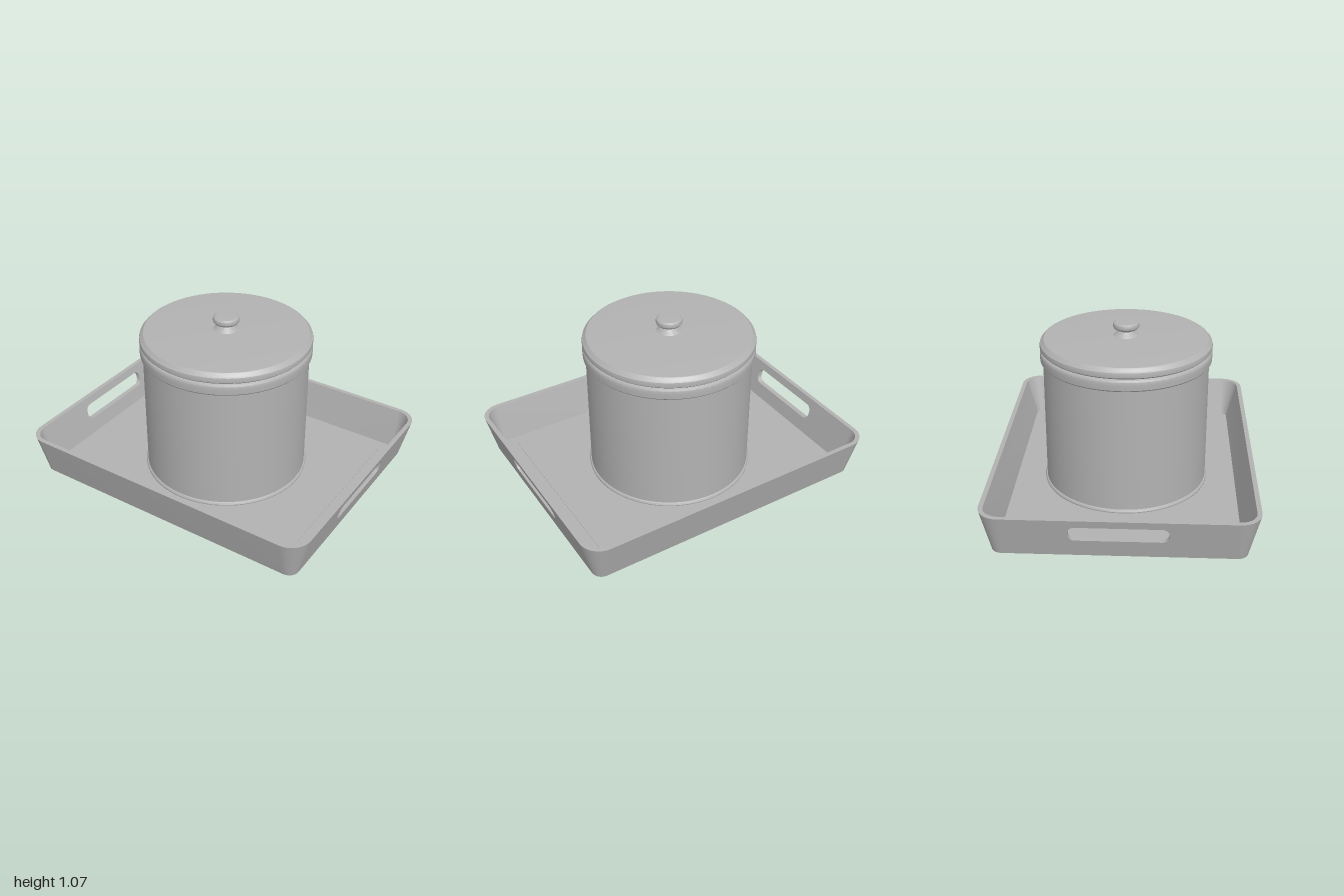
import * as THREE from 'three';
import { toCreasedNormals } from 'three/addons/utils/BufferGeometryUtils.js';

const grey = new THREE.MeshStandardMaterial({ color: 0xb2b2b2 });
grey.name = 'grey';

const H = 0.265, FLOOR = 0.022;   // tray height, floor thickness
const CX = 0.87, CZ = 0.67;       // centres of the rounded corners

// radius of the corners (distance of each wall from the corner centres) at a height
const outer = y => 0.065 + 0.065 * y / H;
const inner = y => 0.035 + 0.067 * (y - FLOOR) / (H - FLOOR);

function add(parent, name, geometry) {
  const mesh = new THREE.Mesh(toCreasedNormals(geometry, 0.5), grey);
  mesh.name = name;
  parent.add(mesh);
  return mesh;
}

function lathe(parent, name, profile) {
  const pts = profile.map(([r, y]) => new THREE.Vector2(r, y));
  return add(parent, name, new THREE.LatheGeometry(pts, 72));
}

function roundedRect(PathType, w, h, r, cy = 0) {
  const p = new PathType();
  const c = [[w - r, h - r, 0], [r - w, h - r, 1], [r - w, r - h, 2], [w - r, r - h, 3]];
  c.forEach(([x, y, q]) => p.absarc(x, y + cy, r, q * Math.PI / 2, (q + 1) * Math.PI / 2, false));
  p.closePath();
  return p;
}

// Long side with its two corners: a wall section swept round a half turn
function longWall() {
  const section = [[outer(0), 0], [outer(H), H], [inner(H), H], [inner(FLOOR), FLOOR]];
  const stations = [];
  const steps = 10;
  for (const side of [1, -1]) {
    for (let i = 0; i <= steps; i++) {
      stations.push([side * CX, (side > 0 ? 0 : Math.PI / 2) + i / steps * Math.PI / 2]);
    }
  }
  const pos = [], index = [], n = section.length;
  stations.forEach(([cx, a], i) => {
    section.forEach(([r, y], j) => {
      pos.push(cx + r * Math.cos(a), y, CZ + r * Math.sin(a));
      if (i < stations.length - 1 && j < n - 1) {
        const p = i * n + j, q = p + n;
        index.push(p, p + 1, q + 1, p, q + 1, q);
      }
    });
  });
  const g = new THREE.BufferGeometry();
  g.setAttribute('position', new THREE.Float32BufferAttribute(pos, 3));
  g.setIndex(index);
  return g;
}

// Short side with a handle slot, leaned outwards
function handleWall() {
  const s = new THREE.Shape();
  s.moveTo(-CZ, 0);
  s.lineTo(CZ, 0);
  s.lineTo(CZ, H);
  s.lineTo(-CZ, H);
  s.closePath();
  s.holes.push(roundedRect(THREE.Path, 0.285, 0.05, 0.042, 0.165));
  const g = new THREE.ExtrudeGeometry(s, { depth: 1, bevelEnabled: false, curveSegments: 8 });
  const p = g.attributes.position;
  for (let i = 0; i < p.count; i++) {
    const u = p.getX(i), y = p.getY(i), t = p.getZ(i);
    p.setXYZ(i, CX + THREE.MathUtils.lerp(inner(y), outer(y), t), y, -u);
  }
  return g;
}

function plate(w, d, r, thickness, y) {
  const g = new THREE.ExtrudeGeometry(roundedRect(THREE.Shape, w, d, r),
    { depth: thickness, bevelEnabled: false, curveSegments: 10 });
  return g.rotateX(-Math.PI / 2).translate(0, y, 0);
}

export function createModel() {
  const model = new THREE.Group();
  model.name = 'potOnTray';

  // Tray
  const tray = new THREE.Group();
  tray.name = 'tray';
  model.add(tray);
  add(tray, 'trayFloor', plate(CX + 0.065, CZ + 0.065, 0.065, FLOOR, 0));
  add(tray, 'floorPanel', plate(0.815, 0.63, 0.004, 0.003, FLOOR));
  for (const turn of [0, Math.PI]) {
    add(tray, 'longWall', longWall()).rotation.y = turn;
    add(tray, 'handleWall', handleWall()).rotation.y = turn;
  }

  // Pot
  const pot = new THREE.Group();
  pot.name = 'pot';
  model.add(pot);
  lathe(pot, 'potBody', [[0, FLOOR], [0.515, FLOOR], [0.515, 0.84]]);
  lathe(pot, 'footRing', [[0.525, FLOOR], [0.527, 0.032], [0.522, 0.042], [0.514, 0.046]]);
  lathe(pot, 'potRim', [[0.51, 0.834], [0.526, 0.834], [0.532, 0.842], [0.533, 0.87],
    [0.532, 0.892], [0.526, 0.902], [0.515, 0.907], [0.515, 0.914]]);

  // Lid
  const lid = new THREE.Group();
  lid.name = 'lid';
  model.add(lid);
  lathe(lid, 'lidBand', [[0.513, 0.91], [0.524, 0.912], [0.532, 0.92], [0.533, 0.936],
    [0.53, 0.95], [0.52, 0.957], [0.512, 0.97], [0.506, 0.974]]);
  lathe(lid, 'lidTop', [[0.506, 0.974], [0.4, 0.979], [0.25, 0.983], [0, 0.986]]);
  lathe(lid, 'knob', [[0.078, 0.984], [0.072, 0.99], [0.052, 1.002], [0.042, 1.013], [0.05, 1.021],
    [0.072, 1.028], [0.08, 1.038], [0.082, 1.05], [0.078, 1.062], [0.068, 1.069], [0, 1.07]]);

  return model;
}
